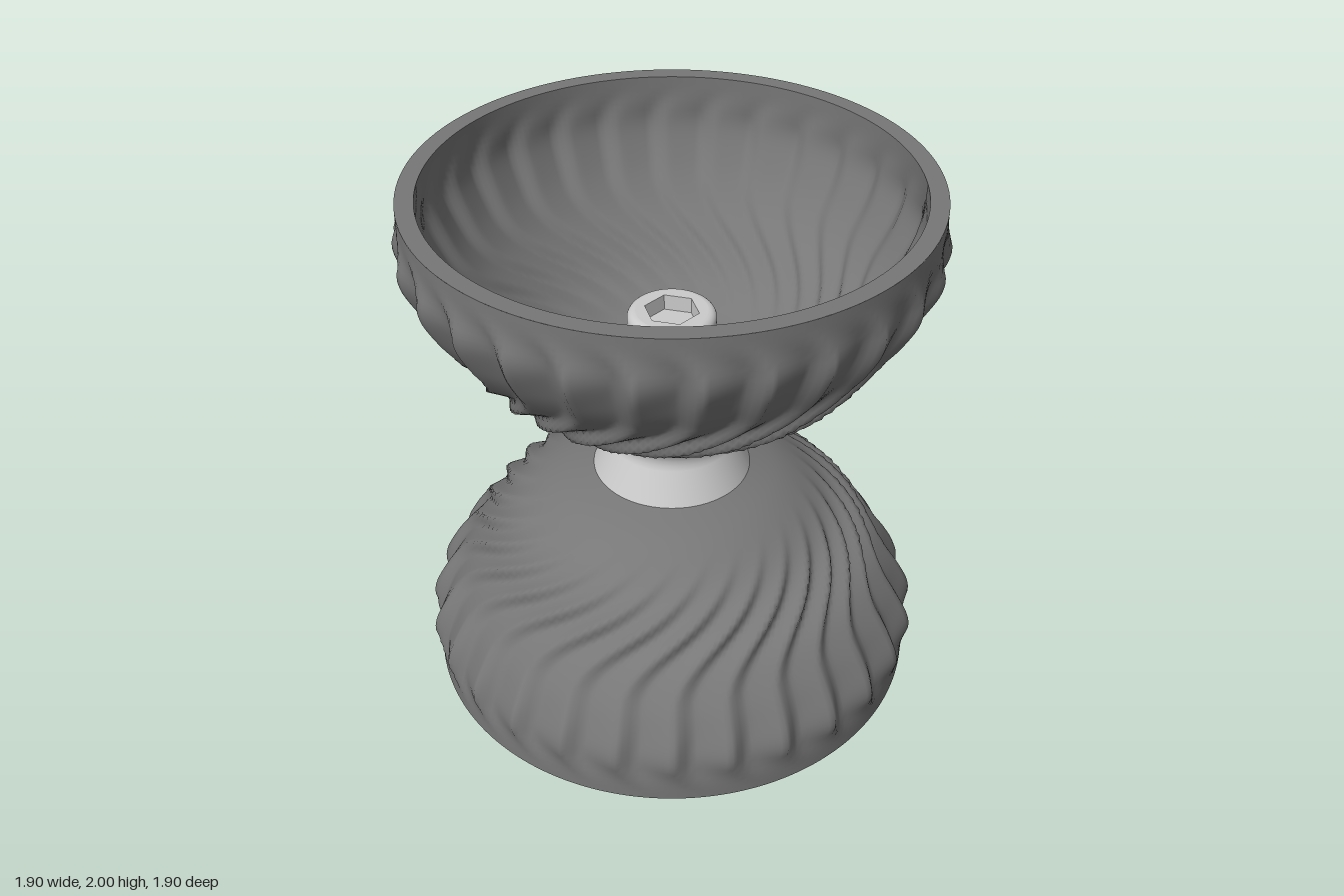
import * as THREE from 'three';

const AROUND = 280, ROWS = 50, RIDGES = 28, HOLE_R = 0.07, HOLE_Y = 0.15;
const grey = (color) => new THREE.MeshStandardMaterial({ color });
const v2 = (pairs) => pairs.map(([x, y]) => new THREE.Vector2(x, y));

// Cup profiles as (radius, height), from the rim up to the waist
const OUTER = new THREE.SplineCurve(v2([[0.925, 0], [0.925, 0.1], [0.92, 0.2], [0.87, 0.32], [0.81, 0.42],
  [0.75, 0.51], [0.67, 0.61], [0.55, 0.72], [0.42, 0.8], [0.27, 0.85]]));
const INNER = new THREE.SplineCurve(v2([[0.86, 0], [0.86, 0.1], [0.85, 0.2], [0.8, 0.32], [0.74, 0.42],
  [0.68, 0.5], [0.59, 0.6], [0.48, 0.7], [0.37, 0.77], [0.2, 0.79]]));

// Swept, sharp-crested ridges that fade out at the rim and the waist
function ridge(a, y) {
  const env = THREE.MathUtils.smoothstep(y, 0.03, 0.18) * (1 - THREE.MathUtils.smoothstep(y, 0.55, 0.78));
  const turns = RIDGES * (a - 3 * (y - 0.27) ** 2) / (2 * Math.PI) + 0.12 * Math.sin(y * 17);
  const f = turns - Math.floor(turns);
  const saw = f < 0.7 ? (f / 0.7) ** 1.4 : (1 - f) / 0.3;
  const rows = 0.8 + 0.2 * Math.cos((y - 0.22) * 16);
  return env * rows * (0.045 * saw - 0.018);
}

// One wall of a cup as a wrapped grid; the grid bends round a circular hole at +x
function wall(curve, inside, withHole) {
  const length = curve.getLength(), half = 3, ic = AROUND / 4;
  const jc = Math.round(HOLE_Y / length * ROWS);
  const pos = [], index = [];
  for (let j = 0; j <= ROWS; j++) {
    for (let i = 0; i < AROUND; i++) {
      let a = i / AROUND * 2 * Math.PI, s = j / ROWS;
      const u = (i - ic) / half, v = (j - jc) / half, m = Math.max(Math.abs(u), Math.abs(v));
      if (withHole && m >= 1 && m < 2) {
        const d = Math.hypot(u, v), k = 2 - m;
        a += k * (Math.PI / 2 + u / d * HOLE_R / curve.points[0].x - a);
        s += k * ((HOLE_Y + v / d * HOLE_R) / length - s);
      }
      const p = curve.getPointAt(s), t = curve.getTangentAt(s);
      const h = ridge(a, p.y) * (inside ? 0.55 : 1);
      const r = p.x + t.y * h;
      pos.push(r * Math.sin(a), p.y - t.x * h, r * Math.cos(a));
    }
  }
  for (let j = 0; j < ROWS; j++) {
    for (let i = 0; i < AROUND; i++) {
      const cut = i >= ic - half && i < ic + half && j >= jc - half && j < jc + half;
      if (withHole && cut) continue;
      const n = (i + 1) % AROUND;
      const A = j * AROUND + i, B = j * AROUND + n, C = B + AROUND, D = A + AROUND;
      if (inside) index.push(A, C, B, A, D, C);
      else index.push(A, B, C, A, C, D);
    }
  }
  const g = new THREE.BufferGeometry();
  g.setAttribute('position', new THREE.Float32BufferAttribute(pos, 3));
  g.setIndex(index);
  g.computeVertexNormals();
  return g;
}

function add(parent, name, geometry, material) {
  const mesh = new THREE.Mesh(geometry, material);
  mesh.name = name;
  parent.add(mesh);
  return mesh;
}

// Half of the spool, opening downwards
function makeHalf(name, withHole) {
  const half = new THREE.Group();
  half.name = name;
  const rubber = grey(0x777777), metal = grey(0xcccccc), steel = grey(0xa0a0a0);
  metal.side = steel.side = THREE.DoubleSide;
  add(half, 'cupOuterWall', wall(OUTER, false, withHole), rubber);
  add(half, 'cupInnerWall', wall(INNER, true, withHole), rubber);
  add(half, 'cupRim', new THREE.RingGeometry(0.86, 0.925, 140), rubber).rotation.x = Math.PI / 2;

  // Lining of the side hole
  if (withHole) {
    const lining = grey(0x777777);
    lining.side = THREE.DoubleSide;
    const tube = add(half, 'holeLining', new THREE.CylinderGeometry(HOLE_R, HOLE_R, 0.075, 32, 1, true), lining);
    tube.rotation.z = Math.PI / 2;
    tube.position.set(0.89, HOLE_Y, 0);
  }

  // Tapered washer on the cup floor
  const washer = new THREE.CylinderGeometry(0.31, 0.235, 0.09, 64);
  add(half, 'hubWasher', washer, steel).position.y = 0.745;

  // Bolt head with a rounded edge and a hexagonal socket
  const profile = v2([[0.16, 0.72], [0.16, 0.52]]);
  for (let k = 1; k <= 6; k++) {
    const q = k / 6 * Math.PI / 2;
    profile.push(new THREE.Vector2(0.13 + 0.03 * Math.cos(q), 0.52 - 0.03 * Math.sin(q)));
  }
  add(half, 'boltHead', new THREE.LatheGeometry(profile, 64), metal);
  const face = new THREE.Shape().absarc(0, 0, 0.13, 0, Math.PI * 2);
  const hex = [];
  for (let k = 0; k < 6; k++) {
    const q = Math.PI / 6 + k * Math.PI / 3;
    hex.push(new THREE.Vector2(0.1 * Math.cos(q), 0.1 * Math.sin(q)));
  }
  face.holes.push(new THREE.Path(hex));
  const front = add(half, 'boltFace', new THREE.ShapeGeometry(face, 64), metal);
  front.rotation.x = Math.PI / 2;
  front.position.y = 0.49;
  const socket = new THREE.CylinderGeometry(0.1, 0.1, 0.06, 6, 1, true).toNonIndexed();
  socket.computeVertexNormals();
  add(half, 'hexSocket', socket, metal).position.y = 0.52;
  const floor = add(half, 'socketFloor', new THREE.CircleGeometry(0.1, 6, Math.PI / 6), metal);
  floor.rotation.x = Math.PI / 2;
  floor.position.y = 0.55;
  return half;
}

export function createModel() {
  const model = new THREE.Group();
  model.name = 'spool';
  model.add(makeHalf('lowerCup', true));

  // Same half turned over
  const upper = makeHalf('upperCup', false);
  upper.rotation.z = Math.PI;
  upper.position.y = 2;
  model.add(upper);

  // Waisted axle between the cups
  const axle = v2([[0.295, 0.84], [0.24, 0.97], [0.235, 0.99], [0.235, 1.01], [0.24, 1.03], [0.295, 1.16]]);
  add(model, 'axle', new THREE.LatheGeometry(axle, 72), grey(0xcccccc));
  return model;
}
